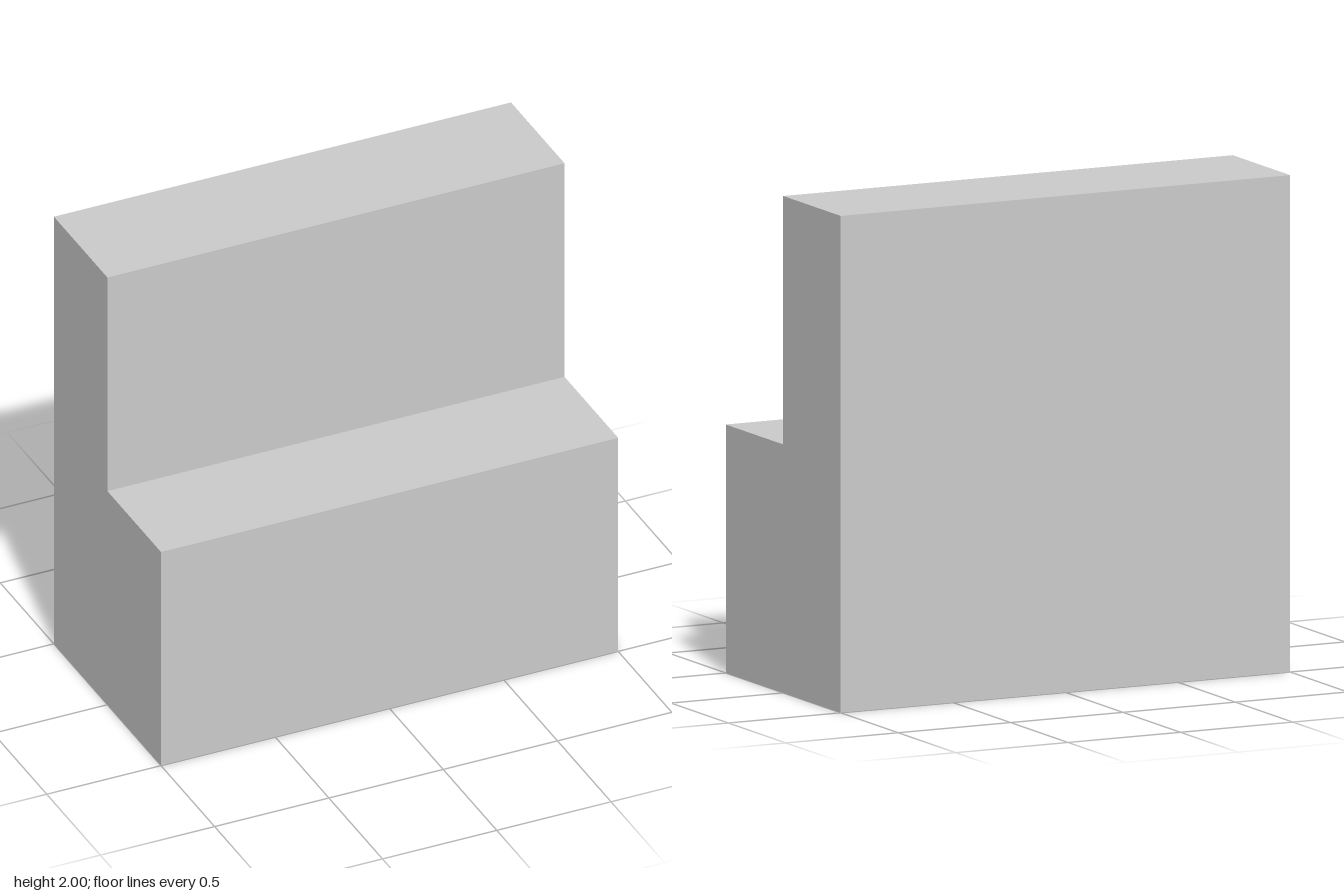
import * as THREE from 'three';

export function createModel() {
  const group = new THREE.Group();
  group.name = 'steppedBlock';

  // L-shaped side profile as (z, y): low step in front, tall back
  const profile = new THREE.Shape([
    [-0.5, 0], [0.5, 0], [0.5, 1], [0, 1], [0, 2], [-0.5, 2],
  ].map(([z, y]) => new THREE.Vector2(z, y)));

  // Extrude across the width, then turn the profile to face sideways
  const width = 2;
  const geometry = new THREE.ExtrudeGeometry(profile, { depth: width, bevelEnabled: false });
  geometry.translate(0, 0, -width / 2);
  geometry.rotateY(-Math.PI / 2);

  const material = new THREE.MeshStandardMaterial({ color: 0xcccccc, flatShading: true });
  const step = new THREE.Mesh(geometry, material);
  step.name = 'step';
  group.add(step);
  return group;
}
